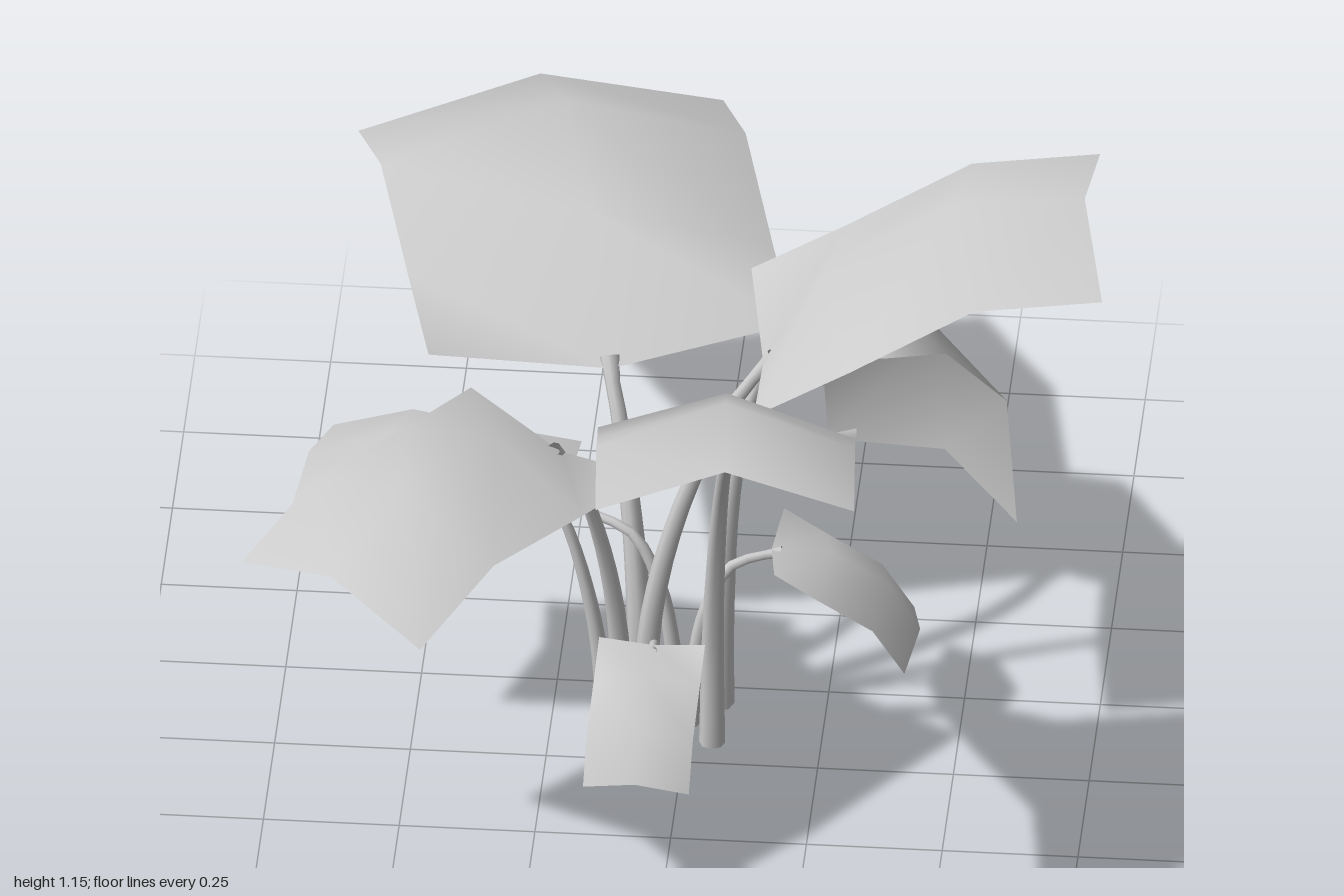
import * as THREE from 'three';

const material = new THREE.MeshStandardMaterial({ color: 0xcccccc, side: THREE.DoubleSide });

// Leaf blade profiles: [outward, up] per row for the midrib and for both edges.
// The blade is a valley fold at the stem and turns into a ridge fold at the tip.
const ARCHED = {
  rib: [[0, 0], [0.117, 0.215], [0.35, 0.35], [0.59, 0.36]],
  edge: [[-0.02, 0.045], [0.155, 0.14], [0.385, 0.275], [0.62, 0.295]],
};
const DROOPING = {
  rib: [[0, 0], [0.25, 0.02], [0.46, -0.21], [0.485, -0.495]],
  edge: [[0.02, 0.045], [0.21, -0.045], [0.39, -0.245], [0.42, -0.53]],
};

// Stem shapes: [share of the sideways travel, share of the height].
const LEANING = [[0, 0], [0.04, 0.3], [0.28, 0.6], [0.7, 0.88], [1, 1]];
const HOOKED = [[0, 0], [0.05, 0.35], [0.2, 0.7], [0.5, 0.94], [1, 1]];

function leafGeometry({ rib, edge }) {
  const positions = [], index = [];
  for (let row = 0; row < 4; row++) {
    for (let col = 0; col < 3; col++) {
      const [out, up] = col === 1 ? rib[row] : edge[row];
      positions.push((col - 1) / 2, up, out);
      if (row < 3 && col < 2) {
        const a = row * 3 + col, b = a + 3;
        index.push(a, b, b + 1, a, b + 1, a + 1);
      }
    }
  }
  const geometry = new THREE.BufferGeometry();
  geometry.setAttribute('position', new THREE.Float32BufferAttribute(positions, 3));
  geometry.setIndex(index);
  geometry.computeVertexNormals();
  return geometry;
}

// Tapering stem: upright at the foot, bending out to the leaf, flared at its end.
function stemGeometry(foot, end, dir, radius, bend) {
  const points = bend.map(([t, h]) => new THREE.Vector3(
    THREE.MathUtils.lerp(foot[0], end[0], t), end[1] * h, THREE.MathUtils.lerp(foot[1], end[2], t)));
  const rise = bend === HOOKED ? 0.005 : 0.025;
  points.push(new THREE.Vector3(end[0] + dir.x * 0.02, end[1] + rise, end[2] + dir.z * 0.02));
  const path = new THREE.CatmullRomCurve3(points);
  const rings = 14, sides = 8;
  const geometry = new THREE.TubeGeometry(path, rings, radius, sides);
  const p = geometry.attributes.position, v = new THREE.Vector3();
  for (let i = 0; i < p.count; i++) {
    const t = Math.floor(i / (sides + 1)) / rings;
    const centre = path.getPointAt(t);
    const k = 1 - 0.55 * t + (t > 0.95 ? 0.2 : 0);
    v.fromBufferAttribute(p, i).sub(centre).multiplyScalar(k).add(centre);
    p.setXYZ(i, v.x, t === 0 ? 0 : v.y, v.z);
  }
  return geometry;
}

// pitch is the downward tilt of the blade in degrees; out is its horizontal heading [x, z].
const LEAVES = [
  { name: 'backLeaf', base: [-0.157, 0.644, -0.075], out: [-0.2, -0.85], pitch: 27, width: 0.677, size: 1.27, foot: [-0.09, 0.08], radius: 0.028 },
  { name: 'frontLeaf', base: [0.093, 0.765, 0.365], out: [0.075, 1], pitch: 0, width: 0.475, size: 1, foot: [0.05, 0.18], radius: 0.024 },
  { name: 'leftLeaf', base: [0.138, 0.795, 0.105], out: [1, -0.09], pitch: 0, width: 0.485, size: 1, foot: [-0.075, 0.14], radius: 0.024 },
  { name: 'frontRightLeaf', base: [-0.22, 0.696, 0.28], out: [-0.38, 0.51], pitch: 27, width: 0.436, size: 0.93, foot: [-0.12, 0.15], radius: 0.022 },
  { name: 'backLeftLeaf', base: [0.148, 0.655, -0.17], out: [0.55, -0.83], pitch: 0, width: 0.44, size: 1, profile: DROOPING, bend: HOOKED, foot: [0.05, 0.05], radius: 0.03 },
  { name: 'rightLeaf', base: [-0.23, 0.522, 0.2], out: [-0.98, -0.18], pitch: 27, width: 0.33, size: 0.69, foot: [-0.145, 0.22], radius: 0.02 },
  { name: 'smallBackRightLeaf', base: [-0.19, 0.41, 0.035], out: [-0.815, -0.575], pitch: 66, width: 0.21, size: 0.45, bend: HOOKED, foot: [-0.02, 0.1], radius: 0.018 },
  { name: 'smallFrontLeaf', base: [-0.048, 0.3, 0.314], out: [-0.05, 1], pitch: 60, width: 0.196, size: 0.42, bend: HOOKED, foot: [-0.05, 0.225], radius: 0.017 },
  { name: 'smallLeftLeaf', base: [0.152, 0.372, 0.09], out: [1, 0], pitch: 62, width: 0.22, size: 0.46, bend: HOOKED, foot: [0.005, 0.12], radius: 0.018 },
];

export function createModel() {
  const plant = new THREE.Group();
  plant.name = 'leafyPlant';

  for (const { name, base, out, pitch, width, size, profile = ARCHED, bend = LEANING, foot, radius } of LEAVES) {
    // Leaf blade
    const leaf = new THREE.Mesh(leafGeometry(profile), material);
    leaf.name = name;
    leaf.position.set(...base);
    leaf.rotation.set(THREE.MathUtils.degToRad(pitch), Math.atan2(out[0], out[1]), 0, 'YXZ');
    leaf.scale.set(width, size, size);

    // Stem and the flat cut at its foot
    const dir = new THREE.Vector3(out[0], 0, out[1]).normalize();
    const end = [base[0], base[1] - 0.01, base[2]];
    const stem = new THREE.Mesh(stemGeometry(foot, end, dir, radius, bend), material);
    stem.name = name + 'Stem';
    const cut = new THREE.Mesh(new THREE.CircleGeometry(radius, 8), material);
    cut.name = name + 'StemFoot';
    cut.rotation.x = Math.PI / 2;
    cut.position.set(foot[0], 0, foot[1]);

    plant.add(leaf, stem, cut);
  }
  return plant;
}
